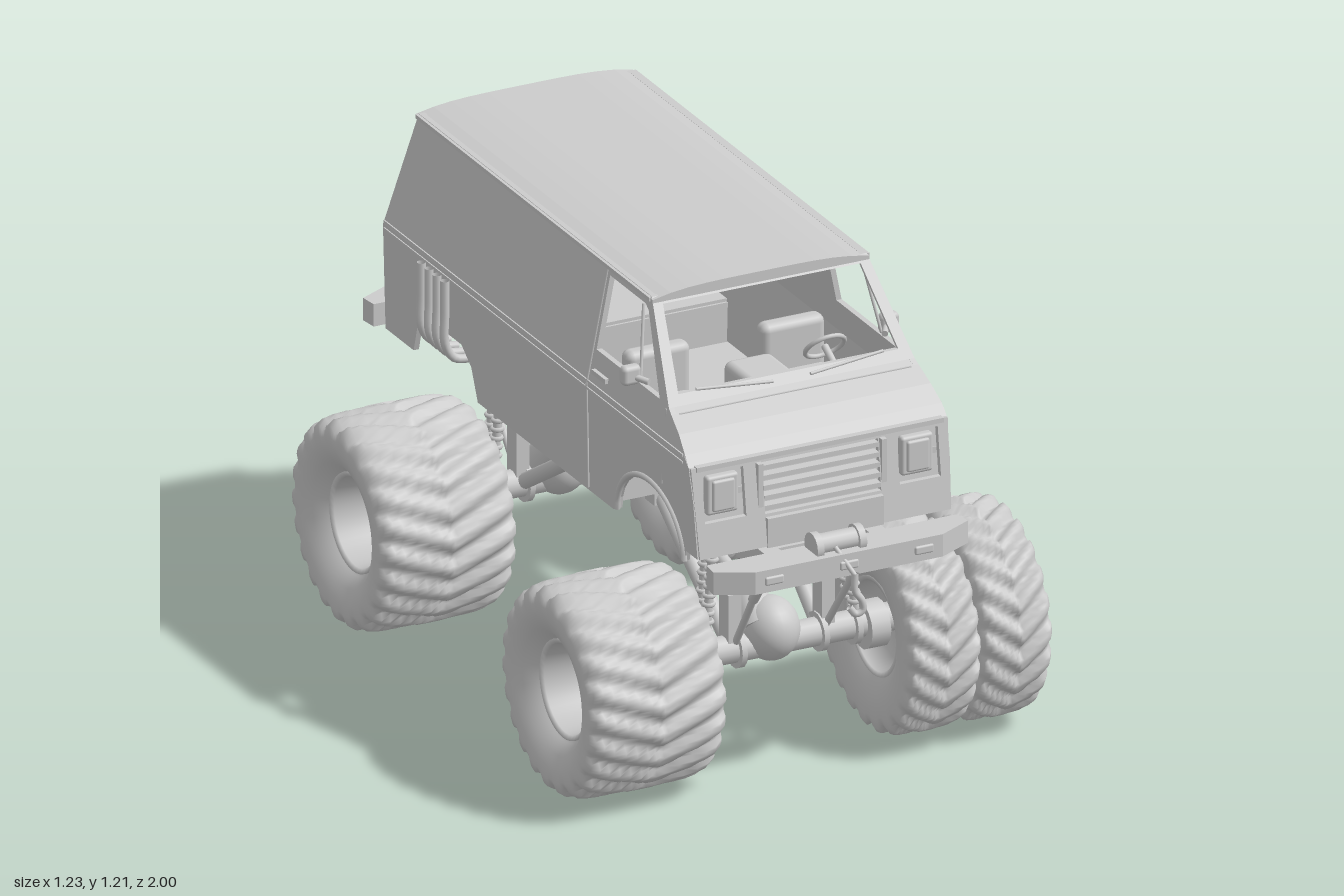
import * as THREE from 'three';
import { RoundedBoxGeometry } from 'three/addons/geometries/RoundedBoxGeometry.js';

const mat = new THREE.MeshStandardMaterial({ color: 0xcccccc, side: THREE.DoubleSide });
const V = (x, y, z) => new THREE.Vector3(x, y, z);
const lerp = THREE.MathUtils.lerp;
const SIDES = [1, -1];

export function createModel() {
  const root = new THREE.Group();
  const add = (name, geo, x = 0, y = 0, z = 0, parent = root) => {
    const m = new THREE.Mesh(geo, mat);
    m.name = name;
    m.position.set(x, y, z);
    parent.add(m);
    return m;
  };
  const box = (name, w, h, d, x, y, z) => add(name, new THREE.BoxGeometry(w, h, d), x, y, z);
  // round bar between two points
  const rod = (name, a, b, r, r2 = r) => {
    const m = add(name, new THREE.CylinderGeometry(r2, r, a.distanceTo(b), 14));
    m.position.copy(a).lerp(b, 0.5);
    m.quaternion.setFromUnitVectors(V(0, 1, 0), b.clone().sub(a).normalize());
    return m;
  };
  const axial = (name, r, len, x, y, z) => rod(name, V(x - len / 2, y, z), V(x + len / 2, y, z), r);
  const path = a => a.map(p => new THREE.Vector2(p[0], p[1]));
  // flat outline with holes, given a thickness and bent into place by a rule
  const sheet = (name, outline, holes, t, rule) => {
    const s = new THREE.Shape(path(outline));
    holes.forEach(h => s.holes.push(new THREE.Path(path(h))));
    const g = new THREE.ExtrudeGeometry(s, { depth: t, bevelEnabled: false });
    const p = g.attributes.position;
    for (let i = 0; i < p.count; i++) p.setXYZ(i, ...rule(p.getX(i), p.getY(i), p.getZ(i)));
    g.computeVertexNormals();
    return add(name, g);
  };
  const mirrorX = pts => pts.map(([x, y]) => [-x, y]);
  const closeX = right => [...right, ...mirrorX(right).reverse()];

  // ---- body sides: lower panel with wheel arches, upper panel with door window
  const wide = y => (y < 0.9 ? lerp(0.338, 0.345, (y - 0.62) / 0.28) : lerp(0.345, 0.286, (y - 0.9) / 0.3));
  const arch = [];
  for (let i = 0; i <= 14; i++) {
    const a = Math.PI * (1 - i / 14);
    arch.push([0.585 + 0.175 * Math.cos(a), 0.63 + 0.135 * Math.sin(a)]);
  }
  const lower = [[-0.8, 0.9], [-0.8, 0.625], [-0.655, 0.625], [-0.63, 0.70], [-0.59, 0.74], [-0.4, 0.74],
    [-0.35, 0.70], [-0.32, 0.62], [0.39, 0.62], ...arch, [0.77, 0.66], [0.83, 0.66], [0.815, 0.8], [0.795, 0.885], [0.78, 0.9]];
  const upper = [[-0.8, 0.9], [0.78, 0.9], [0.73, 0.94], [0.66, 0.985], [0.49, 1.2], [-0.73, 1.2]];
  const windowHole = [[0.28, 0.99], [0.28, 1.175], [0.465, 1.175], [0.485, 1.165], [0.61, 0.99]];
  const onSide = s => (u, v, w) => [s * (wide(v) - w), v, u];
  for (const s of SIDES) {
    sheet('lowerSide', lower, [], 0.014, onSide(s));
    sheet('upperSide', upper, [windowHole], 0.014, onSide(s));
    for (const y of [0.889, 0.907]) box('beltTrim', 0.006, 0.006, 1.56, s * wide(y), y, -0.015);
    box('roofGutter', 0.012, 0.01, 1.22, s * 0.288, 1.194, -0.12);
    // door seams
    rod('doorSeam', V(s * 0.342, 0.63, 0.265), V(s * 0.346, 0.9, 0.265), 0.003);
    rod('doorSeam', V(s * 0.346, 0.9, 0.265), V(s * 0.288, 1.19, 0.265), 0.003);
    rod('doorSeam', V(s * 0.342, 0.79, 0.65), V(s * 0.329, 0.98, 0.65), 0.003);
    box('doorHandle', 0.012, 0.012, 0.07, s * 0.34, 0.94, 0.325);
    // front arch lip
    const lip = new THREE.CatmullRomCurve3(arch.map(([z, y]) => V(s * wide(y), 0.63 + (y - 0.63) * 1.06, z)));
    add('archLip', new THREE.TubeGeometry(lip, 28, 0.008, 6));
    // door mirror
    add('mirror', new RoundedBoxGeometry(0.05, 0.05, 0.03, 2, 0.012), s * 0.345, 1.01, 0.49);
    rod('mirrorArm', V(s * 0.315, 1.0, 0.53), V(s * 0.34, 1.005, 0.49), 0.008);
    // window post
    rod('quarterPost', V(s * 0.322, 0.99, 0.5), V(s * 0.291, 1.17, 0.455), 0.004);
  }

  // ---- crowned roof
  const crown = [[-0.29, 1.185], [0.29, 1.185]];
  for (let i = 0; i <= 12; i++) {
    const x = 0.29 - (0.58 * i) / 12;
    crown.push([x, 1.196 + 0.018 * (1 - Math.pow(x / 0.29, 4))]);
  }
  sheet('roof', crown, [], 1.24, (u, v, w) => [u, v, w - 0.74]);

  // ---- windscreen frame, hood, rear doors
  const slope = (y0, z0, y1, z1) => (u, v, w) => [u, v, lerp(z0, z1, (v - y0) / (y1 - y0)) + w];
  sheet('windscreenFrame', closeX([[0.328, 0.985], [0.287, 1.2]]), [closeX([[0.294, 1.008], [0.264, 1.183]])], 0.012, slope(0.985, 0.648, 1.2, 0.478));
  const hood = [[0.985, 0.655], [0.945, 0.725], [0.91, 0.77], [0.88, 0.797]];
  for (let i = 0; i < 3; i++) {
    const [y1, z1] = hood[i], [y0, z0] = hood[i + 1];
    sheet('hood', closeX([[wide(y0), y0], [wide(y1), y1]]), [], 0.008, slope(y0, z0 - 0.005, y1, z1 - 0.005));
  }
  for (const s of SIDES) rod('wiper', V(s * 0.05, 1.0, 0.66), V(s * 0.25, 1.015, 0.648), 0.004);
  const rearUp = slope(0.9, -0.8, 1.2, -0.73);
  const pane = [[0.025, 0.955], [0.275, 0.945], [0.285, 0.965], [0.26, 1.125], [0.245, 1.14], [0.025, 1.15]];
  sheet('rearDoorsUpper', closeX([[0.345, 0.9], [0.286, 1.2]]), [pane, mirrorX(pane)], 0.014, rearUp);
  sheet('rearGlass', closeX([[0.3, 0.93], [0.27, 1.16]]), [], 0.004, (u, v, w) => rearUp(u, v, w + 0.009));
  sheet('rearDoorsLower', closeX([[0.338, 0.625], [0.345, 0.9]]), [], 0.014, (u, v, w) => [u, v, w - 0.802]);
  box('rearCrease', 0.66, 0.012, 0.01, 0, 0.82, -0.803);
  box('rearSeam', 0.006, 0.26, 0.008, 0, 0.765, -0.803);
  rod('rearSeam', V(0, 0.9, -0.802), V(0, 1.18, -0.737), 0.004);

  // ---- front fascia with lamp and grille openings
  const face = slope(0.66, 0.822, 0.885, 0.79);
  const lampHole = [[0.205, 0.745], [0.315, 0.745], [0.315, 0.868], [0.205, 0.868]];
  const grilleHole = closeX([[0.155, 0.74], [0.155, 0.868]]);
  sheet('frontFascia', closeX([[0.335, 0.66], [0.343, 0.885]]), [lampHole, mirrorX(lampHole), grilleHole], 0.014, face);
  sheet('grilleBacking', closeX([[0.33, 0.72], [0.33, 0.88]]), [], 0.004, (u, v, w) => face(u, v, w - 0.018));
  for (let i = 0; i < 5; i++) box('grilleBar', 0.31, 0.012, 0.026, 0, 0.754 + i * 0.025, 0.81 - i * 0.003);
  box('frontValance', 0.31, 0.075, 0.03, 0, 0.695, 0.825);
  box('hoodLip', 0.66, 0.012, 0.02, 0, 0.882, 0.8);
  for (const s of SIDES) {
    add('headlampBezel', new RoundedBoxGeometry(0.085, 0.1, 0.025, 2, 0.008), s * 0.26, 0.806, 0.797);
    add('headlamp', new RoundedBoxGeometry(0.06, 0.08, 0.015, 2, 0.006), s * 0.26, 0.806, 0.809);
    box('grillePost', 0.014, 0.14, 0.02, s * 0.165, 0.8, 0.812);
  }

  // ---- floor pan and cab interior
  box('floor', 0.66, 0.02, 0.68, 0, 0.64, 0.03);
  box('frontFloor', 0.66, 0.016, 0.42, 0, 0.8, 0.58);
  box('toeBoard', 0.66, 0.17, 0.012, 0, 0.715, 0.37);
  box('rearFloor', 0.66, 0.016, 0.48, 0, 0.75, -0.56);
  box('rearRiser', 0.66, 0.12, 0.012, 0, 0.69, -0.32);
  box('dashboard', 0.62, 0.07, 0.1, 0, 0.94, 0.63);
  add('engineCover', new RoundedBoxGeometry(0.13, 0.17, 0.16, 2, 0.02), -0.01, 0.89, 0.52);
  for (const s of SIDES) {
    add('seatCushion', new RoundedBoxGeometry(0.17, 0.06, 0.17, 2, 0.02), s * 0.18, 0.83, 0.39);
    add('seatBack', new RoundedBoxGeometry(0.17, 0.2, 0.05, 2, 0.02), s * 0.18, 0.88, 0.3);
  }
  add('steeringWheel', new THREE.TorusGeometry(0.05, 0.006, 8, 24), 0.17, 0.985, 0.5).rotation.x = 0.7;
  rod('steeringColumn', V(0.17, 0.985, 0.5), V(0.17, 0.93, 0.6), 0.009);

  // ---- exhaust stacks on both rear flanks
  for (const s of SIDES) for (let i = 0; i < 4; i++) {
    const z = -0.42 - i * 0.041;
    const c = new THREE.CatmullRomCurve3([V(s * 0.3, 0.69, z), V(s * 0.35, 0.7, z), V(s * 0.374, 0.74, z), V(s * 0.375, 0.82, z), V(s * 0.375, 0.905, z)]);
    add('exhaustStack', new THREE.TubeGeometry(c, 20, 0.011, 10));
  }

  // ---- chassis rails, cross members, drivetrain
  for (const s of SIDES) box('chassisRail', 0.045, 0.06, 1.76, s * 0.14, 0.612, 0);
  for (const z of [-0.74, -0.32, 0.18, 0.36, 0.76]) box('crossMember', 0.28, 0.035, 0.04, 0, 0.605, z);
  box('engineSump', 0.12, 0.08, 0.3, 0, 0.6, 0.45);
  add('transferCase', new RoundedBoxGeometry(0.13, 0.13, 0.13, 2, 0.012), -0.03, 0.525, -0.08);
  rod('transferOutput', V(-0.045, 0.52, 0.07), V(-0.045, 0.52, -0.23), 0.032);

  // ---- bumpers, winches and tow hooks at both ends
  for (const e of SIDES) {
    sheet('bumper', closeX([[0.335, 0.87], [0.34, 0.915], [0.25, 0.96]]), [], 0.058, (u, v, w) => [u, 0.602 + w, e * v]);
    for (const x of [-0.2, 0, 0.2]) add('bumperLamp', new RoundedBoxGeometry(0.05, 0.022, 0.012, 2, 0.005), x, 0.631, e * 0.959);
    axial('winchDrum', 0.026, 0.1, -0.01, 0.675, e * 0.91);
    for (const x of [-0.067, 0.047]) axial('winchFlange', 0.036, 0.018, x, 0.672, e * 0.91);
    rod('winchCable', V(-0.025, 0.672, e * 0.935), V(0.005, 0.61, e * 0.98), 0.006);
    const hook = [V(0.005, 0.615, e * 0.98), V(0.005, 0.57, e * 0.982), V(0.02, 0.545, e * 0.988), V(0.022, 0.52, e * 0.988), V(0.005, 0.512, e * 0.985), V(-0.01, 0.53, e * 0.98)];
    add('towHook', new THREE.TubeGeometry(new THREE.CatmullRomCurve3(hook), 24, 0.009, 8));
  }

  // ---- axles with differential, links, shocks
  const axles = [{ z: 0.583, e: 1, link: 0.22 }, { z: -0.525, e: -1, link: -0.07 }];
  for (const { z, e, link } of axles) {
    axial('axleTube', 0.036, 0.72, 0, 0.29, z);
    add('differential', new THREE.SphereGeometry(0.08, 24, 16), -0.02, 0.325, z).scale.set(0.9, 1, 1);
    const pinion = V(-0.045, 0.4, z - e * 0.07);
    rod('pinionHousing', V(-0.045, 0.33, z), pinion, 0.06, 0.042);
    rod('driveShaft', pinion, V(-0.045, 0.52, e * 0.05 - 0.08), 0.017);
    for (const p of [pinion, V(-0.045, 0.51, e * 0.11 - 0.08)]) add('universalJoint', new THREE.SphereGeometry(0.033, 14, 10), p.x, p.y, p.z);
    for (const s of SIDES) {
      for (const x of [0.11, 0.2]) axial('axleFlange', 0.05, 0.014, s * x, 0.29, z);
      axial('knuckle', 0.06, 0.05, s * 0.25, 0.282, z);
      box('linkBracket', 0.05, 0.07, 0.05, s * 0.13, 0.57, link);
      rod('radiusArm', V(s * 0.13, 0.565, link), V(s * 0.12, 0.3, z - e * 0.02), 0.02);
      rod('damperBody', V(s * 0.14, 0.6, z + e * 0.24), V(s * 0.13, 0.47, z + e * 0.13), 0.013);
      rod('damperRod', V(s * 0.13, 0.47, z + e * 0.13), V(s * 0.12, 0.3, z + e * 0.01), 0.009);
      box('axleBracket', 0.035, 0.14, 0.05, s * 0.125, 0.37, z);
      for (const dz of [-0.017, 0.017]) {
        const top = V(s * 0.175, 0.645, z + dz), foot = V(s * 0.2, 0.32, z + dz);
        rod('shock', foot, top, 0.011);
        for (let i = 0; i < 12; i++) {
          const ring = add('shockCoil', new THREE.TorusGeometry(0.012, 0.006, 6, 12));
          ring.position.copy(foot).lerp(top, 0.12 + i * 0.07);
          ring.rotation.x = Math.PI / 2;
        }
      }
    }
  }

  // ---- wheels: chevron tyres on dished rims
  const half = [[-0.7, 0.118, 0], [-0.76, 0.13, 0], [-0.92, 0.155, 0], [-0.99, 0.19, 0], [-1, 0.222, 0.3], [-0.965, 0.246, 0.8],
    [-0.86, 0.259, 1], [-0.72, 0.264, 1], [-0.54, 0.266, 1], [-0.36, 0.267, 1], [-0.18, 0.268, 1], [-0.06, 0.268, 1]];
  const section = [...half, [0, 0.268, 1], ...half.map(([h, r, k]) => [-h, r, k]).reverse()];
  const LUGS = 22, STEPS = LUGS * 8;
  const tyre = w => {
    const pos = [], idx = [], n = section.length;
    for (let i = 0; i < STEPS; i++) for (const [h, r, k] of section) {
      const a = (i / STEPS) * Math.PI * 2;
      const wave = Math.sin(LUGS * a + 6.6 * Math.min(Math.abs(h), 0.97));
      const rr = r - 0.018 * k * (1 - THREE.MathUtils.smoothstep(wave, -0.75, 0.35));
      pos.push(h * w, rr * Math.cos(a), rr * Math.sin(a));
    }
    for (let i = 0; i < STEPS; i++) for (let j = 0; j < n - 1; j++) {
      const a = i * n + j, b = ((i + 1) % STEPS) * n + j;
      idx.push(a, a + 1, b, b, a + 1, b + 1);
    }
    const g = new THREE.BufferGeometry();
    g.setAttribute('position', new THREE.Float32BufferAttribute(pos, 3));
    g.setIndex(idx);
    g.computeVertexNormals();
    return g;
  };
  const wheel = (x, z, w, bolts) => {
    const s = Math.sign(x), g = new THREE.Group();
    g.name = 'wheel';
    g.position.set(x, 0.272, z);
    root.add(g);
    add('tyre', tyre(w), 0, 0, 0, g);
    const prof = [[0, 0.3], [0.05, 0.3], [0.056, 0.26], [0.06, 0.16], [0.097, 0.16], [0.104, 0.25], [0.112, 0.72], [0.124, 0.76], [0.126, 0.68],
      [0.126, -0.68], [0.124, -0.76], [0.112, -0.72], [0.1, -0.1], [0, -0.1]];
    add('rim', new THREE.LatheGeometry(path(prof.map(([r, h]) => [r, h * w])), 40), 0, 0, 0, g).rotation.z = -s * Math.PI / 2;
    for (let i = 0; bolts && i < 8; i++) {
      const a = (i / 8) * Math.PI * 2;
      add('wheelBolt', new THREE.CylinderGeometry(0.012, 0.012, 0.03, 10), s * (0.16 * w + 0.01), 0.078 * Math.cos(a), 0.078 * Math.sin(a), g).rotation.z = Math.PI / 2;
    }
  };
  wheel(-0.435, 0.583, 0.18, false);
  wheel(0.328, 0.583, 0.094, false);
  wheel(0.52, 0.583, 0.092, false);
  for (const s of SIDES) wheel(s * 0.43, -0.525, 0.18, true);
  return root;
}
